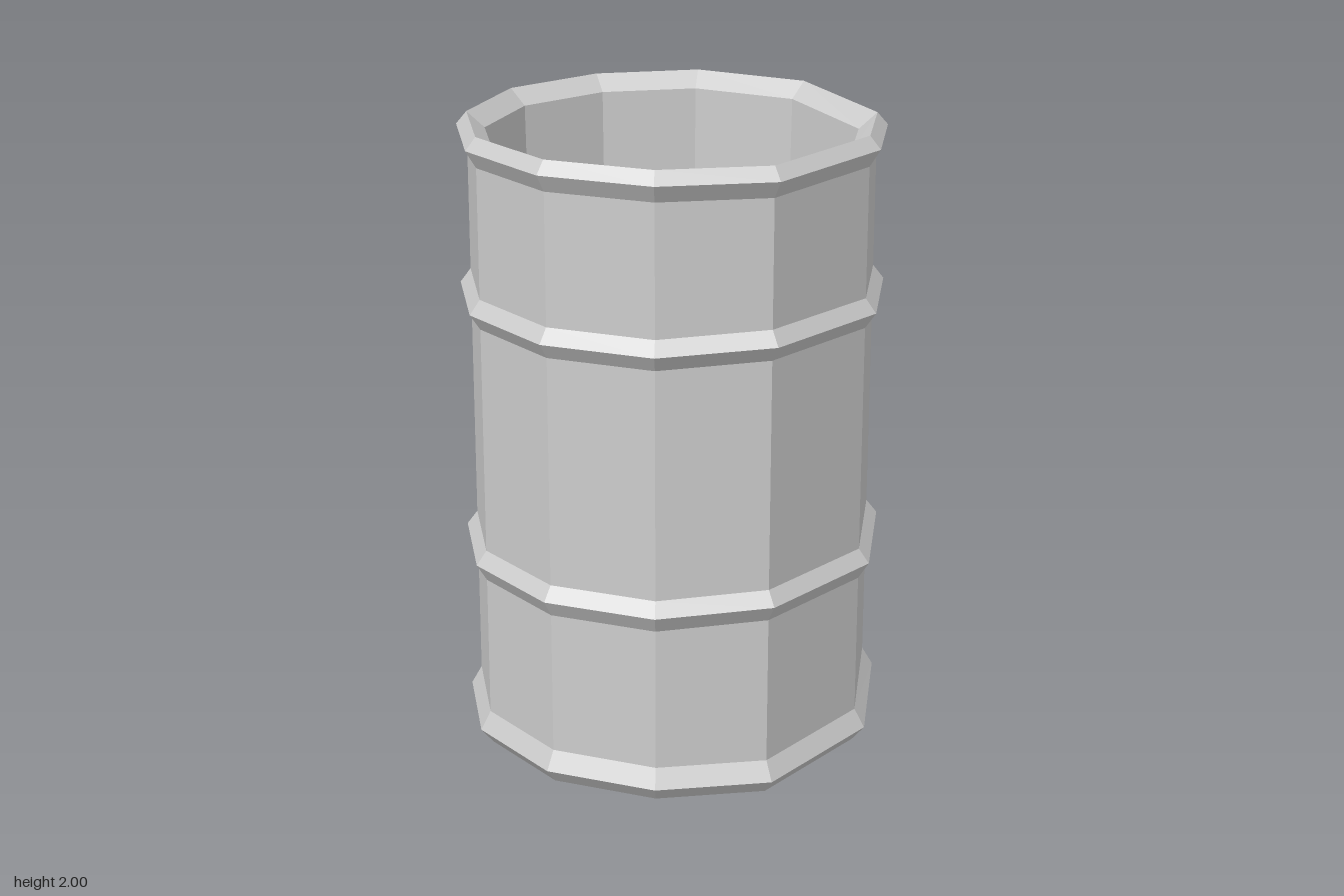
import * as THREE from 'three';

// Uneven eleven-sided outline of the drum at its widest, as [x, z]
const outline = [
  [0.01, -0.70], [0.39, -0.57], [0.66, -0.23], [0.66, 0.18], [0.40, 0.59], [0.05, 0.69],
  [-0.30, 0.61], [-0.56, 0.36], [-0.66, 0.02], [-0.58, -0.33], [-0.33, -0.59],
];

// Dents: height offsets of single corners of each hoop, by corner index
const dents = {
  none: {},
  bottom: { 2: 0.035 },
  lower: { 1: 0.015, 2: 0.01, 4: 0.015 },
  upper: { 1: 0.01, 2: -0.01, 4: 0.015 },
  top: { 2: -0.02 },
};

const material = new THREE.MeshStandardMaterial({ color: 0xcccccc, flatShading: true });

// Skins a run of cross-sections, each [outline scale, height, dent name]
function loft(name, sections) {
  const n = outline.length;
  const positions = [];
  const corner = ([scale, y, dent = 'none'], i) => {
    const [x, z] = outline[i % n];
    return [x * scale, y + (dents[dent][i % n] ?? 0), z * scale];
  };
  for (let s = 0; s < sections.length - 1; s++) {
    const low = sections[s], high = sections[s + 1];
    for (let i = 0; i < n; i++) {
      const a = corner(low, i), b = corner(low, i + 1);
      const c = corner(high, i + 1), d = corner(high, i);
      if (high[0] > 0) positions.push(...a, ...d, ...c);
      if (low[0] > 0) positions.push(...a, ...c, ...b);
    }
  }
  const geometry = new THREE.BufferGeometry();
  geometry.setAttribute('position', new THREE.Float32BufferAttribute(positions, 3));
  geometry.computeVertexNormals();
  const mesh = new THREE.Mesh(geometry, material);
  mesh.name = name;
  return mesh;
}

export function createModel() {
  const group = new THREE.Group();
  group.name = 'drum';
  const body = 0.95;

  // Underside and the four hoops with the straight walls between them
  group.add(loft('base', [[0, 0], [0.94, 0]]));
  group.add(loft('bottomHoop', [[0.94, 0], [1, 0.05, 'bottom'], [body, 0.11, 'bottom']]));
  group.add(loft('lowerWall', [[body, 0.11, 'bottom'], [body, 0.57, 'lower']]));
  group.add(loft('lowerHoop', [[body, 0.57, 'lower'], [1, 0.625, 'lower'], [body, 0.67, 'lower']]));
  group.add(loft('middleWall', [[body, 0.67, 'lower'], [body, 1.4, 'upper']]));
  group.add(loft('upperHoop', [[body, 1.4, 'upper'], [1, 1.45, 'upper'], [body, 1.495, 'upper']]));
  group.add(loft('upperWall', [[body, 1.495, 'upper'], [body, 1.905, 'top']]));

  // Rim rolls over the top and slopes into the open drum
  group.add(loft('rim', [
    [body, 1.905, 'top'], [1, 1.96, 'top'], [body, 2, 'top'], [0.865, 1.95, 'top'],
  ]));

  // Slightly tapered hollow inside
  group.add(loft('innerWall', [[0.865, 1.95, 'top'], [0.805, 0.04]]));
  group.add(loft('floor', [[0.805, 0.04], [0, 0.04]]));
  return group;
}
